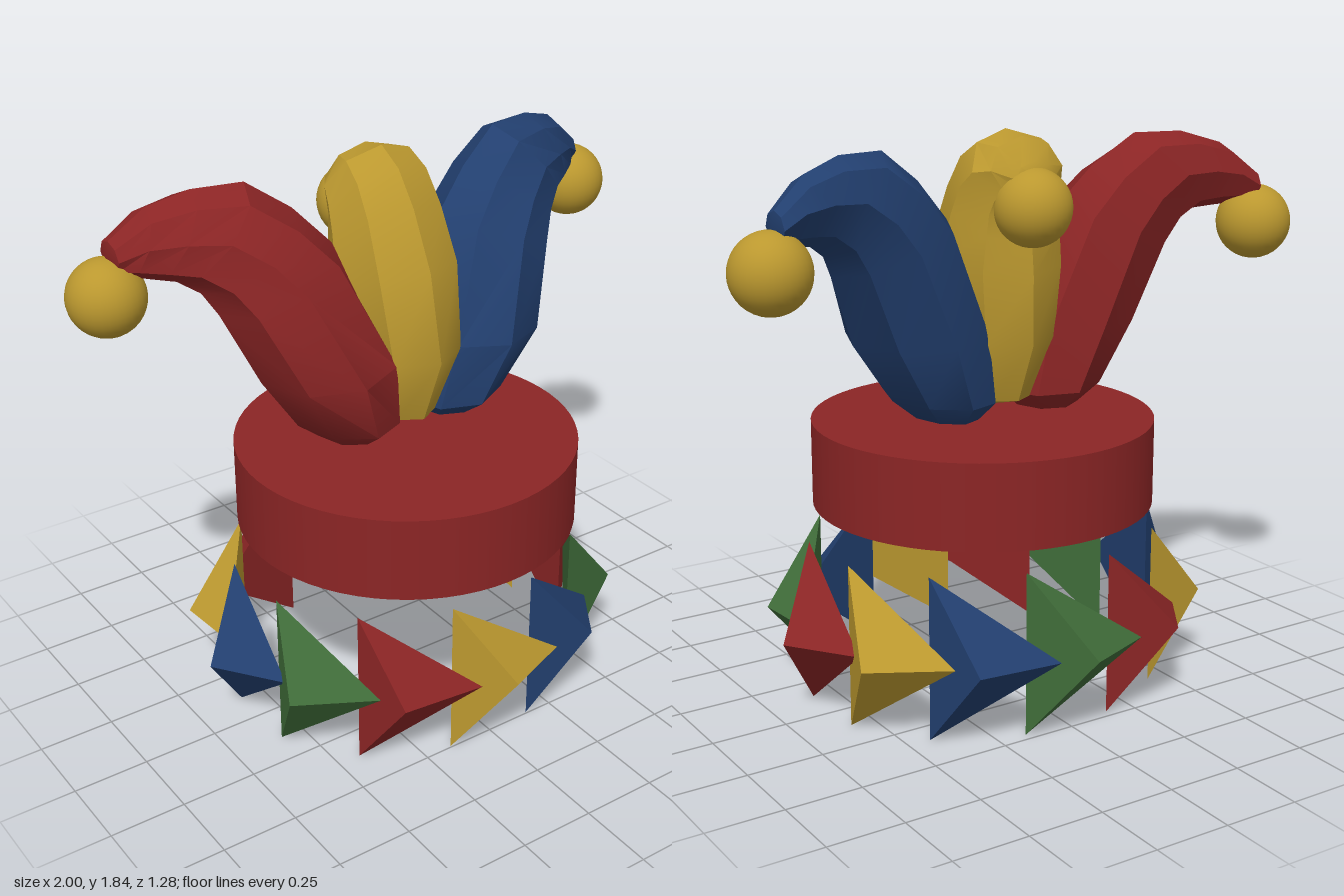
import * as THREE from 'three';
import { toCreasedNormals } from 'three/addons/utils/BufferGeometryUtils.js';

const material = (name, color) => {
  const m = new THREE.MeshStandardMaterial({ color });
  m.name = name;
  return m;
};

// Lofted horn. Each section is [s, y of the upper edge, s, y of the lower edge, depth centre, half depth].
function hornGeometry(sections, bottom, tip, side = 1) {
  const sides = 8, pos = [], index = [];
  const put = (s, y, z) => pos.push(s * side, y, z);
  const tri = (a, b, c) => (side > 0 ? index.push(a, b, c) : index.push(a, c, b));
  for (const [as, ay, bs, by, z, d] of sections) {
    for (let j = 0; j < sides; j++) {
      const a = (j / sides) * Math.PI * 2, k = Math.cos(a) / 2;
      put((as + bs) / 2 + (as - bs) * k, (ay + by) / 2 + (ay - by) * k, z + d * Math.sin(a));
    }
  }
  const n = sections.length, low = n * sides, high = low + 1;
  put(...bottom);
  put(...tip);
  for (let j = 0; j < sides; j++) {
    const k = (j + 1) % sides;
    for (let i = 0; i < n - 1; i++) {
      const r = i * sides, q = r + sides;
      tri(r + j, r + k, q + k);
      tri(r + j, q + k, q + j);
    }
    tri(low, k, j);
    tri(high, (n - 1) * sides + j, (n - 1) * sides + k);
  }
  const g = new THREE.BufferGeometry();
  g.setAttribute('position', new THREE.Float32BufferAttribute(pos, 3));
  g.setIndex(index);
  return toCreasedNormals(g, 0.55);
}

// Four-faced spike: vertical edge behind, point outwards, tip towards the next spike
function spikeGeometry(t) {
  const on = (a, b, angle, y, dz = 0) => [a * Math.sin(angle), y, b * Math.cos(angle) + dz];
  const deg = Math.PI / 180, mid = 0.268;
  const top = on(0.6, 0.5, t - 15 * deg, 0.535, 0.012);
  const low = on(0.6, 0.5, t - 15 * deg, 0, 0.012);
  const tip = on(0.64, 0.59, t + 21 * deg, mid);
  const point = on(0.75, 0.64, t, mid);
  const corners = [top, low, point, low, tip, point, tip, top, point, top, tip, low];
  const g = new THREE.BufferGeometry();
  g.setAttribute('position', new THREE.Float32BufferAttribute(corners.flat(), 3));
  g.computeVertexNormals();
  return g;
}

export function createModel() {
  const model = new THREE.Group();
  model.name = 'jesterHat';
  const red = material('red', 0x8b2525);
  const gold = material('gold', 0xbb982f);
  const blue = material('blue', 0x223f6f);
  const green = material('green', 0x3f6c39);
  const add = (name, geometry, mat, x = 0, y = 0, z = 0) => {
    const mesh = new THREE.Mesh(geometry, mat);
    mesh.name = name;
    mesh.position.set(x, y, z);
    model.add(mesh);
    return mesh;
  };

  // Collar of spikes on an oval
  const cycle = [gold, blue, green, red];
  for (let i = 0; i < 12; i++) add('collarSpike' + (i + 1), spikeGeometry((i * Math.PI) / 6), cycle[i % 4]);

  // Head band
  add('headBand', new THREE.CylinderGeometry(0.557, 0.557, 0.278, 64), red, 0, 0.761, 0.02);

  // Side horns
  const sideHorn = [
    [0.09, 0.935, 0.29, 0.945, -0.05, 0.13],
    [0.03, 0.99, 0.37, 1.01, -0.04, 0.2],
    [0.05, 1.22, 0.5, 1.2, -0.03, 0.24],
    [0.2, 1.57, 0.6, 1.43, -0.09, 0.19],
    [0.32, 1.7, 0.64, 1.5, -0.12, 0.165],
    [0.46, 1.8, 0.7, 1.54, -0.155, 0.135],
    [0.62, 1.8, 0.76, 1.55, -0.19, 0.11],
    [0.75, 1.76, 0.82, 1.56, -0.23, 0.085],
    [0.86, 1.67, 0.855, 1.57, -0.26, 0.06],
  ];
  for (const [name, side, mat] of [['left', 1, blue], ['right', -1, red]]) {
    add(name + 'Horn', hornGeometry(sideHorn, [0.2, 0.913, -0.05], [0.87, 1.62, -0.26], side), mat);
  }

  // Middle horn, bending backwards
  const middleHorn = [
    [-0.12, 0.99, 0.19, 0.99, 0, 0.11],
    [-0.21, 1.22, 0.27, 1.18, 0, 0.18],
    [-0.15, 1.5, 0.27, 1.4, 0, 0.205],
    [-0.06, 1.68, 0.26, 1.5, 0, 0.19],
    [0.02, 1.785, 0.25, 1.56, 0, 0.18],
    [0.11, 1.835, 0.25, 1.6, 0, 0.165],
    [0.2, 1.82, 0.26, 1.63, 0, 0.13],
    [0.27, 1.75, 0.28, 1.65, 0, 0.07],
  ];
  add('middleHorn', hornGeometry(middleHorn, [0.04, 0.95, 0], [0.29, 1.7, 0]), gold).rotation.y = Math.PI / 2;

  // Bells
  const bell = new THREE.SphereGeometry(0.122, 32, 20);
  add('leftBell', bell, gold, 0.878, 1.497, -0.263);
  add('rightBell', bell, gold, -0.878, 1.497, -0.263);
  add('middleBell', bell, gold, 0, 1.61, -0.263);

  return model;
}
